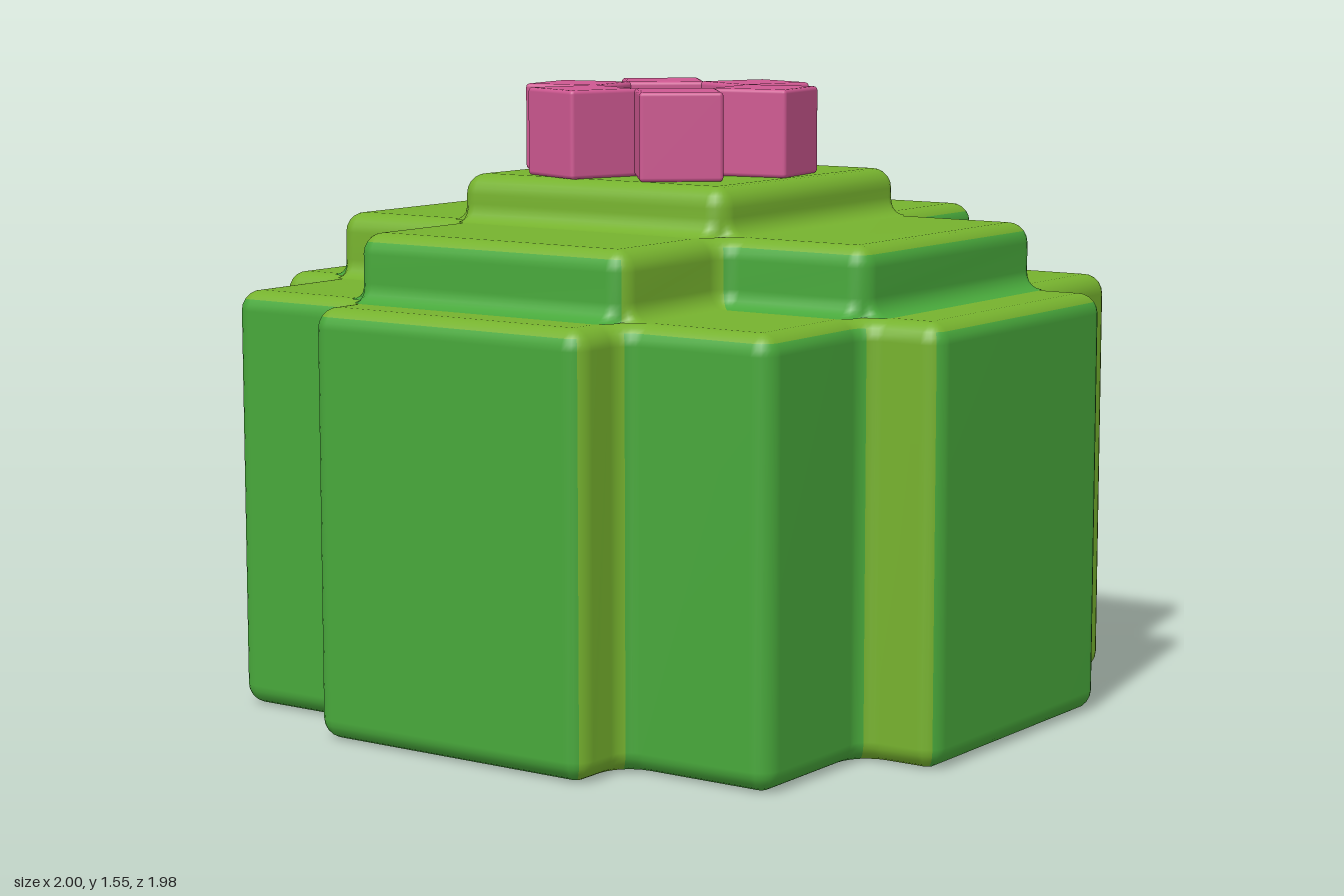
import * as THREE from 'three';
import { RoundedBoxGeometry } from 'three/addons/geometries/RoundedBoxGeometry.js';

const R = 0.05; // rounding of every edge
const N = 6; // segments per rounded corner
const X = [0.4, 0.8, 1.0];
const FRONT = [0.42, 0.82, 0.99];
const BACK = [-0.38, -0.78, -0.99];

const lime = new THREE.MeshStandardMaterial({ color: 0x76b22e });
const green = new THREE.MeshStandardMaterial({ color: 0x48a83b });
const pink = new THREE.MeshStandardMaterial({ color: 0xce5891 });

// Stepped outline with k stairs in each quadrant, running from +x towards +z
function outline(k) {
  const corners = [];
  for (const [sx, zs, reverse] of [[1, FRONT, false], [-1, FRONT, true], [-1, BACK, false], [1, BACK, true]]) {
    const part = [];
    for (let i = 0; i < k; i++) {
      part.push(new THREE.Vector2(sx * X[k - 1 - i], zs[i]));
      if (i < k - 1) part.push(new THREE.Vector2(sx * X[k - 2 - i], zs[i]));
    }
    corners.push(...(reverse ? part.reverse() : part));
  }
  return corners;
}

// Outward normal and midpoint of the edge that ends in corner i
function edgeInto(corners, i) {
  const n = corners.length;
  const a = corners[(i + n - 1) % n], b = corners[i % n];
  const dir = b.clone().sub(a).normalize();
  return { normal: new THREE.Vector2(dir.y, -dir.x), mid: a.clone().add(b).multiplyScalar(0.5) };
}

// Outline with rounded corners, moved outwards by d
function ring(corners, d) {
  const points = [];
  corners.forEach((p, i) => {
    const n1 = edgeInto(corners, i).normal, n2 = edgeInto(corners, i + 1).normal;
    const s = Math.sign(n1.cross(n2)); // 1 convex, -1 concave
    for (let j = 0; j <= N; j++) {
      const t = (j / N) * Math.PI / 2;
      // the foot fillet fades out around convex corners
      const off = s > 0 && d > 0 ? d * Math.abs(Math.cos(2 * t)) : d;
      const r = s * (R + s * off);
      points.push(p.clone()
        .addScaledVector(n1, -s * R + r * Math.cos(t))
        .addScaledVector(n2, -s * R + r * Math.sin(t)));
    }
  });
  return points;
}

// Which walls share the colour of the tops
function isLime(tier, { normal, mid }) {
  const { x, y: z } = mid;
  const alongX = Math.abs(normal.x) > 0.5;
  if (tier === 3) {
    const recess = alongX ? Math.abs(x) < 0.5 : Math.abs(z) < 0.5;
    return recess || (alongX && x > 0.7 && x < 0.9 && z < -0.2);
  }
  if (tier === 2) {
    return alongX ? x > 0.3 && x < 0.5 && z > 0 : z > 0.3 && z < 0.5 && x < 0;
  }
  return true;
}

// One rounded storey of the body: k stairs per quadrant, from y0 to y1
function makeTier(name, k, y0, y1, onGround) {
  const corners = outline(k);
  const profile = []; // [offset, height]
  const foot = 0.045;
  for (let j = 0; j <= 5; j++) {
    const a = (j / 5) * Math.PI / 2;
    profile.push(onGround
      ? [-R + R * Math.sin(a), y0 + R - R * Math.cos(a)]
      : [foot - foot * Math.sin(a), y0 + foot - foot * Math.cos(a)]);
  }
  for (let j = 0; j <= 5; j++) {
    const a = (j / 5) * Math.PI / 2;
    profile.push([-R + R * Math.cos(a), y1 - R + R * Math.sin(a)]);
  }

  const rings = profile.map(([d]) => ring(corners, d));
  const count = rings[0].length;
  const positions = [];
  rings.forEach((pts, r) => pts.forEach(p => positions.push(p.x, profile[r][1], p.y)));

  const limeFaces = [], greenFaces = [];
  for (let r = 0; r < rings.length - 1; r++) {
    for (let i = 0; i < count; i++) {
      const c = Math.floor(i / (N + 1)), step = i % (N + 1);
      const edge = edgeInto(corners, step < N / 2 ? c : c + 1);
      const a = r * count + i, b = r * count + (i + 1) % count;
      const target = r >= 8 || isLime(k, edge) ? limeFaces : greenFaces;
      target.push(a, a + count, b, b, a + count, b + count);
    }
  }
  const last = (rings.length - 1) * count;
  for (const [a, b, c] of THREE.ShapeUtils.triangulateShape(rings[rings.length - 1], [])) {
    limeFaces.push(last + a, last + c, last + b);
  }
  if (onGround) {
    for (const [a, b, c] of THREE.ShapeUtils.triangulateShape(rings[0], [])) limeFaces.push(a, b, c);
  }

  // Shared normals keep the two colours smooth across their border
  const whole = new THREE.BufferGeometry();
  whole.setAttribute('position', new THREE.Float32BufferAttribute(positions, 3));
  whole.setIndex([...limeFaces, ...greenFaces]);
  whole.computeVertexNormals();

  const group = new THREE.Group();
  group.name = name;
  for (const [label, faces, material] of [['Tops', limeFaces, lime], ['Walls', greenFaces, green]]) {
    if (!faces.length) continue;
    const geometry = new THREE.BufferGeometry();
    geometry.setAttribute('position', whole.attributes.position);
    geometry.setAttribute('normal', whole.attributes.normal);
    geometry.setIndex(faces);
    const mesh = new THREE.Mesh(geometry, material);
    mesh.name = name + label;
    group.add(mesh);
  }
  return group;
}

// Ring of six block petals
function makeFlower() {
  const flower = new THREE.Group();
  flower.name = 'flower';
  const geometry = new RoundedBoxGeometry(0.205, 0.218, 0.205, 2, 0.01);
  for (let i = 0; i < 6; i++) {
    const a = THREE.MathUtils.degToRad(-9.5 + i * 60);
    const petal = new THREE.Mesh(geometry, pink);
    petal.name = 'petal';
    petal.position.set(0.26 * Math.cos(a), 0, 0.26 * Math.sin(a));
    petal.rotation.y = -a;
    flower.add(petal);
  }
  flower.position.set(-0.022, 1.441, 0.035);
  return flower;
}

export function createModel() {
  const model = new THREE.Group();
  model.name = 'blockCactus';
  model.add(
    makeTier('lowerBody', 3, 0, 1.05, true),
    makeTier('middleBody', 2, 1.05, 1.215, false),
    makeTier('upperBody', 1, 1.215, 1.333, false),
    makeFlower(),
  );
  return model;
}
